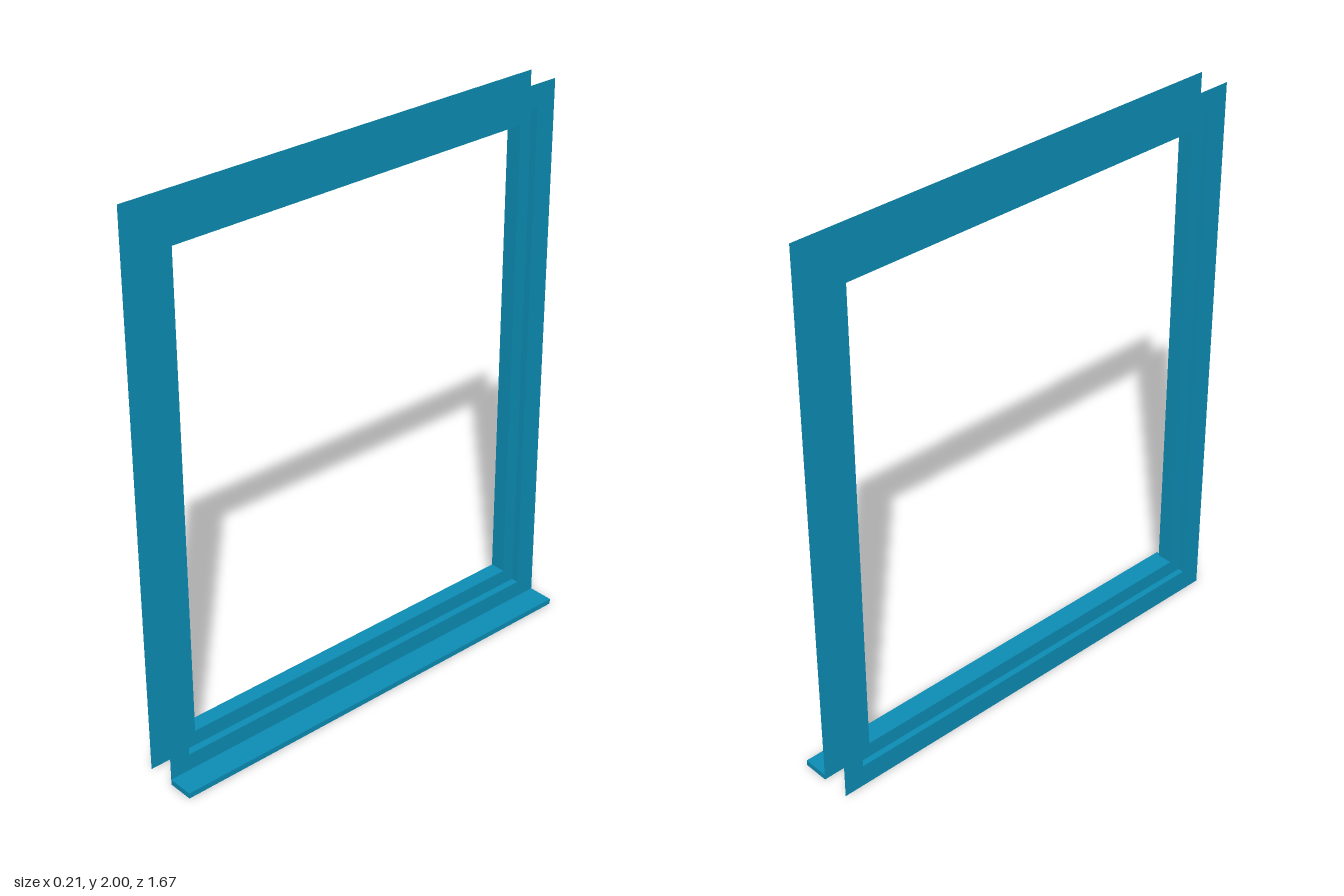
import * as THREE from 'three';

// Sweep a section around a rectangle in the y-z plane with mitred corners.
// Each section point is [x, half height, half depth].
function sweepFrame(section) {
  const corners = [[-1, 1], [1, 1], [1, -1], [-1, -1]];
  const at = ([x, h, d], i) => {
    const [sy, sz] = corners[i % 4];
    return [x, 1 + sy * h, sz * d];
  };
  const positions = [];
  for (let j = 0; j < section.length - 1; j++) {
    for (let i = 0; i < 4; i++) {
      const a = at(section[j], i), b = at(section[j], i + 1);
      const c = at(section[j + 1], i + 1), d = at(section[j + 1], i);
      positions.push(...a, ...c, ...b, ...a, ...d, ...c);
    }
  }
  const geometry = new THREE.BufferGeometry();
  geometry.setAttribute('position', new THREE.Float32BufferAttribute(positions, 3));
  geometry.computeVertexNormals();
  return geometry;
}

export function createModel() {
  const model = new THREE.Group();
  model.name = 'windowFrame';
  const material = new THREE.MeshStandardMaterial({ color: 0x0d8fb8, side: THREE.DoubleSide });

  // Half sizes of the trim edge, the rebate and the clear opening
  const outer = [1, 0.836], rebate = [0.918, 0.759], opening = [0.862, 0.711];

  const addFrame = (name, section) => {
    const mesh = new THREE.Mesh(sweepFrame(section), material);
    mesh.name = name;
    model.add(mesh);
  };

  // Thin flat trim on both faces of the wall, and the stepped lining between them
  addFrame('outsideTrim', [[0.005, ...outer], [0.005, ...rebate]]);
  addFrame('steppedLining', [
    [0.005, ...rebate], [-0.022, ...rebate], [-0.022, ...opening],
    [-0.08, ...opening], [-0.08, ...rebate], [-0.102, ...rebate],
  ]);
  addFrame('insideTrim', [[-0.102, ...rebate], [-0.102, ...outer]]);

  // Sill projecting from the foot of the outside trim
  const sill = new THREE.Mesh(new THREE.BoxGeometry(0.095, 0.02, 2 * outer[1]), material);
  sill.name = 'sill';
  sill.position.set(0.0525, 0.01, 0);
  model.add(sill);

  // The whole frame stands very slightly askew
  model.rotation.y = 0.006;
  return model;
}
